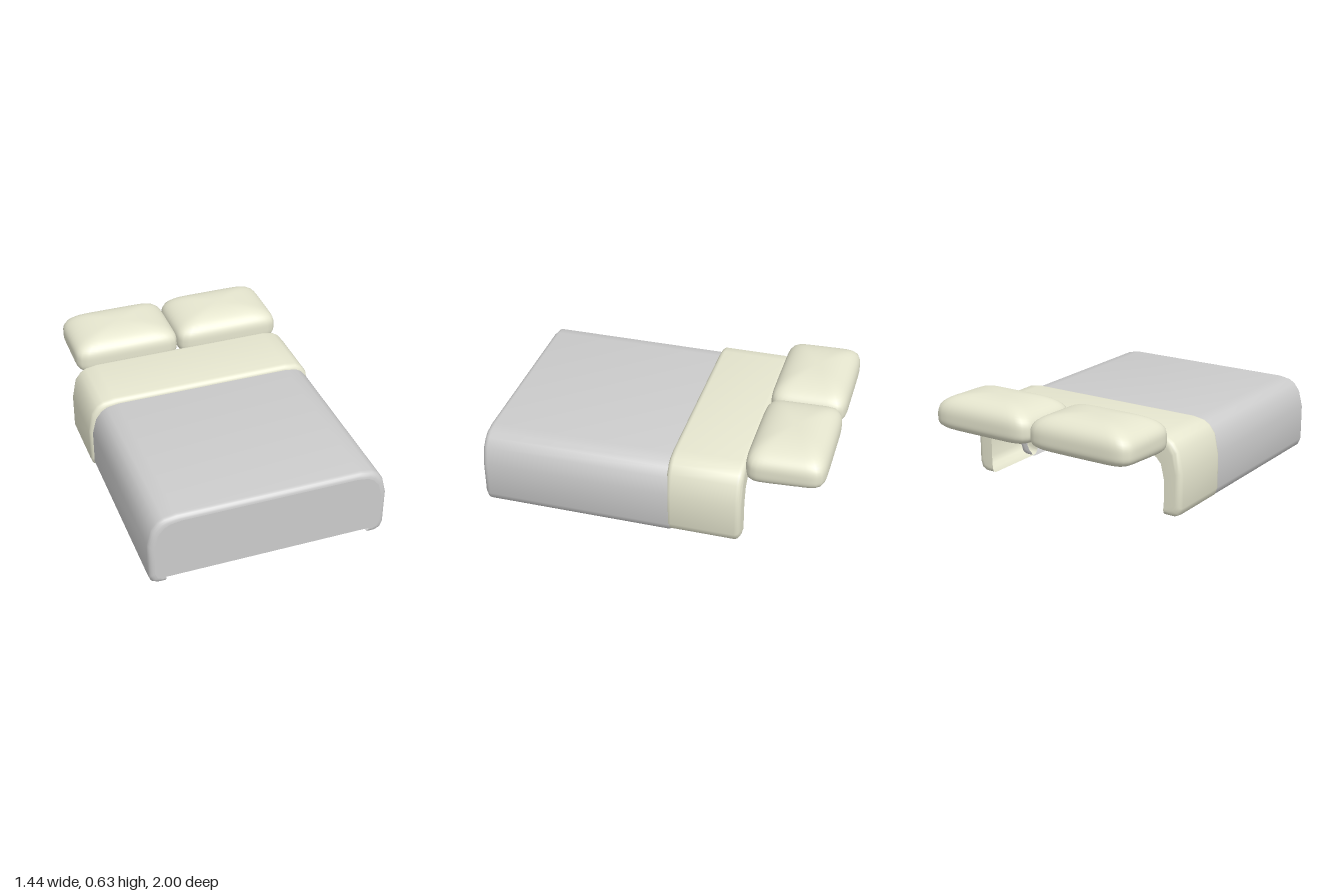
import * as THREE from 'three';
import { toCreasedNormals } from 'three/addons/utils/BufferGeometryUtils.js';

const cloth = (color) => new THREE.MeshStandardMaterial({ color, side: THREE.DoubleSide });
const grey = cloth(0xcccccc);
const cream = cloth(0xe6e6cf);
const ROUND = 0.034; // radius of the rounded ends
const HEM = 0.61; // how far in the bottom hem turns

// Cross-section of a draped cloth, pulled in by t: hem, side, top, side, hem
function section(w, h, y0, t) {
  const lift = Math.min(t, 0.03);
  const half = [
    [HEM, y0], [w - 0.045, y0], [w - 0.015, y0 + 0.015], [w, y0 + 0.055], [w, 0.27],
    [w - 0.025, h - 0.08], [w - 0.06, h - 0.034], [w - 0.095, h - 0.012], [w - 0.165, h],
  ].map(([x, y], i) => [
    i < 4 ? Math.max(HEM, x - t) : x * (1 - t / w),
    y0 + lift + (y - y0) * (h - y0 - t - lift) / (h - y0),
  ]);
  return [...half, ...half.map(([x, y]) => [-x, y]).reverse()];
}

// Rounded end as [distance from the end, inset], from the rim to the full section
function roundedEnd() {
  return Array.from({ length: 6 }, (_, i) => {
    const a = (i / 5) * Math.PI / 2;
    return [ROUND * (1 - Math.sin(a)), ROUND * (1 - Math.cos(a))];
  }).reverse().map(([d, t]) => [d, t]).sort((p, q) => p[0] - q[0]);
}

// Thin draped shell from z0 to z1; each end is rounded and turns in by its lip
function drapedShell(name, w, h, y0, z0, z1, backLip, frontLip, material) {
  const end = roundedEnd();
  const stations = [
    [z0, backLip], ...end.map(([d, t]) => [z0 + d, t]),
    ...end.map(([d, t]) => [z1 - d, t]).reverse(), [z1, frontLip],
  ];
  const rows = stations.map(([z, t]) => section(w, h, y0, t).map(([x, y]) => [x, y, z]));
  const n = rows[0].length;
  const index = [];
  for (let i = 0; i < rows.length - 1; i++) {
    for (let j = 0; j < n - 1; j++) {
      const a = i * n + j;
      index.push(a, a + 1, a + n, a + 1, a + n + 1, a + n);
    }
  }
  const geo = new THREE.BufferGeometry();
  geo.setAttribute('position', new THREE.Float32BufferAttribute(rows.flat(2), 3));
  geo.setIndex(index);
  const mesh = new THREE.Mesh(toCreasedNormals(geo, 0.85), material);
  mesh.name = name;
  return mesh;
}

// Soft cushion: a sphere squared off to a superellipsoid, with a sloping underside
function pillow(name, x) {
  const geo = new THREE.SphereGeometry(1, 64, 40);
  const p = geo.attributes.position;
  const v = new THREE.Vector3();
  for (let i = 0; i < p.count; i++) {
    v.fromBufferAttribute(p, i);
    const top = v.y > 0;
    const k = top ? 2.6 : 3.8;
    const plan = Math.pow(Math.abs(v.x) ** 8 + Math.abs(v.z) ** 8, 1 / 8);
    v.divideScalar(Math.pow(plan ** k + Math.abs(v.y) ** k, 1 / k));
    const tilt = v.z * Math.abs(v.y) * (top ? 0.008 : 0.018);
    p.setXYZ(i, v.x * 0.332, v.y * (top ? 0.13 : 0.108) - tilt, v.z * 0.228);
  }
  geo.computeVertexNormals();
  const mesh = new THREE.Mesh(geo, cream);
  mesh.name = name;
  mesh.position.set(x, 0.495, -0.772);
  return mesh;
}

export function createModel() {
  const bed = new THREE.Group();
  bed.name = 'bedding';

  // Blanket: open underneath, closed at the foot by a flat panel
  const blanket = new THREE.Group();
  blanket.name = 'blanket';
  blanket.position.x = 0.007;
  const outline = [[HEM, 0.04], ...section(0.707, 0.45, 0, ROUND), [-HEM, 0.04]];
  const panel = new THREE.Mesh(
    new THREE.ShapeGeometry(new THREE.Shape(outline.map(([x, y]) => new THREE.Vector2(x, y)))), grey);
  panel.name = 'blanketFootPanel';
  panel.position.z = 1;
  blanket.add(
    drapedShell('blanketDrape', 0.707, 0.45, 0, -0.16, 1, 0.065, ROUND, grey),
    panel,
  );
  bed.add(blanket);

  // Sheet folded over the blanket, with both rims turned in
  bed.add(drapedShell('foldedSheet', 0.718, 0.477, 0.012, -0.55, -0.11, 0.105, 0.105, cream));

  // Pair of pillows
  bed.add(pillow('leftPillow', 0.334), pillow('rightPillow', -0.33));
  return bed;
}
